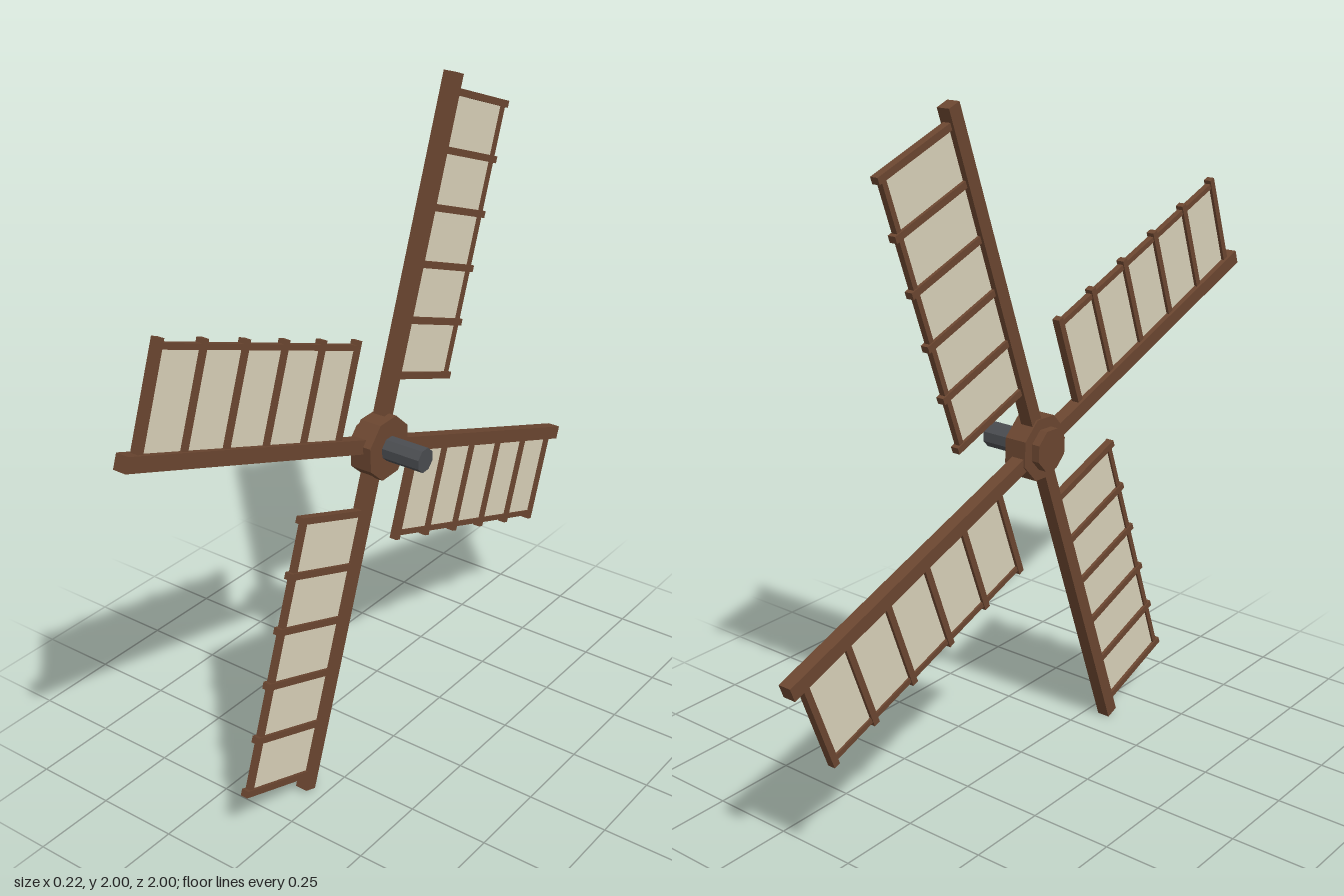
import * as THREE from 'three';

const mat = (color, extra = {}) => new THREE.MeshStandardMaterial({ color, flatShading: true, ...extra });
const wood = mat(0x6b4630);
const cloth = mat(0xd8d0b8, { side: THREE.DoubleSide });
const metal = mat(0x4a4c50);

const PLANE = -0.06; // x of the plane the blades turn in

function box(name, size, pos, material) {
  const m = new THREE.Mesh(new THREE.BoxGeometry(...size), material);
  m.name = name;
  m.position.set(...pos);
  return m;
}

// Eight-sided drum lying along x, from x0 to x1
function drum(name, radius, x0, x1, material) {
  const g = new THREE.CylinderGeometry(radius, radius, x1 - x0, 8).rotateZ(Math.PI / 2);
  const m = new THREE.Mesh(g, material);
  m.name = name;
  m.position.x = (x0 + x1) / 2;
  return m;
}

// One blade, pointing up, with its sail on the -z side
function createBlade() {
  const blade = new THREE.Group();
  blade.name = 'blade';
  blade.add(box('arm', [0.04, 1.057, 0.042], [PLANE, 0.5285, 0], wood));
  blade.add(box('sail', [0.006, 0.8, 0.265], [PLANE, 0.605, -0.1475], cloth));
  blade.add(box('outerRail', [0.018, 0.81, 0.016], [PLANE, 0.605, -0.282], wood));
  for (let i = 0; i < 6; i++) {
    blade.add(box('crossBar', [0.024, 0.02, 0.302], [PLANE, 0.203 + i * 0.161, -0.151], wood));
  }
  return blade;
}

export function createModel() {
  const model = new THREE.Group();
  model.name = 'windmillRotor';

  const rotor = new THREE.Group();
  rotor.name = 'rotor';
  rotor.position.y = 1;
  rotor.rotation.x = THREE.MathUtils.degToRad(-20);
  model.add(rotor);

  // Hub, front cap and axle
  rotor.add(drum('hub', 0.096, -0.085, -0.015, wood));
  rotor.add(drum('hubCap', 0.063, -0.11, -0.085, wood));
  rotor.add(drum('axle', 0.037, -0.02, 0.11, metal));

  // Four blades around the hub
  for (let i = 0; i < 4; i++) {
    const blade = createBlade();
    blade.rotation.x = (i * Math.PI) / 2;
    rotor.add(blade);
  }
  return model;
}
